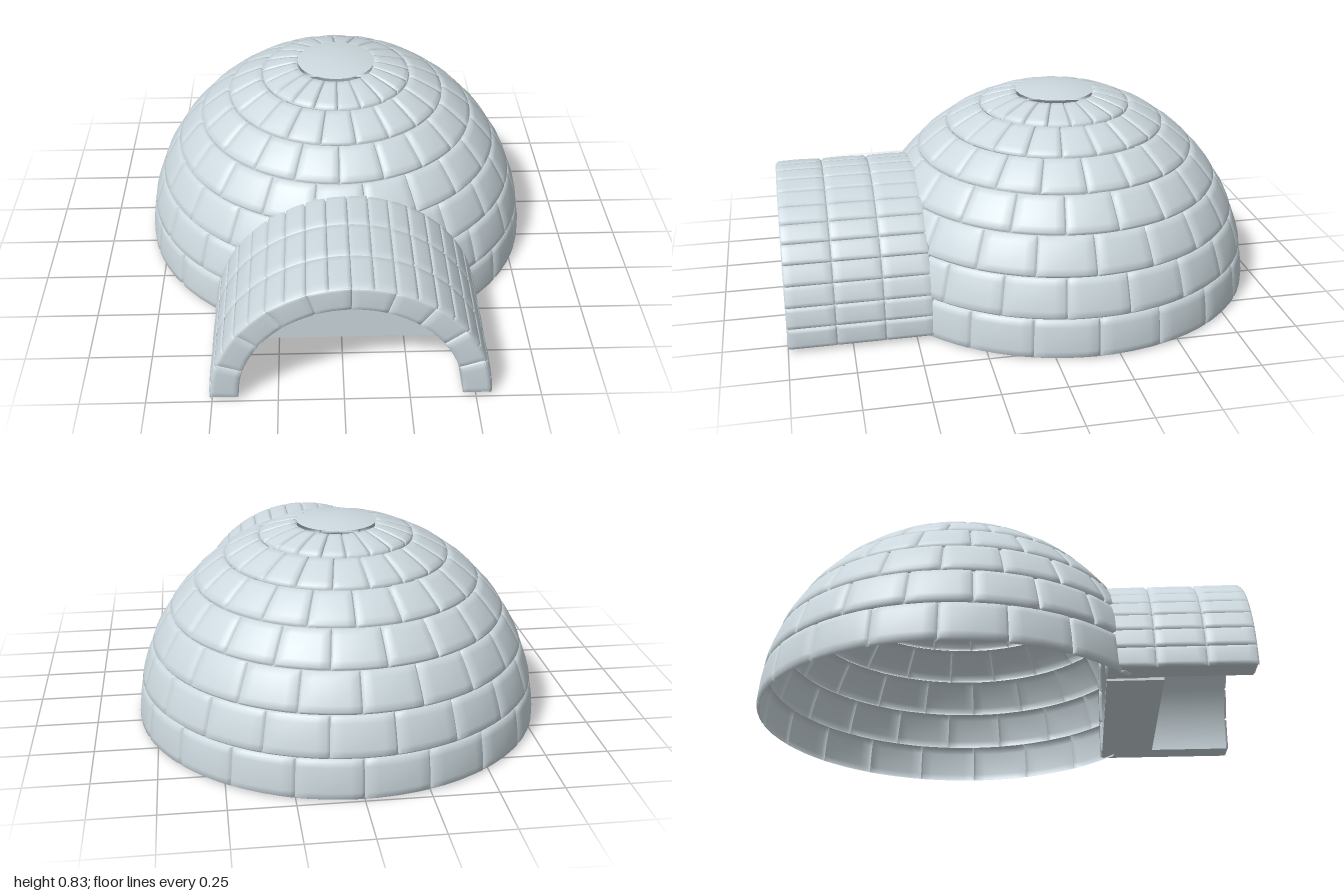
import * as THREE from 'three';
import { mergeGeometries } from 'three/addons/utils/BufferGeometryUtils.js';

const R = 0.83, DOME_Z = -0.17;            // dome radius and centre
const TX = 0.025, TY = 0.012;              // tunnel axis
const R_OUT = 0.537, R_IN = 0.425;         // tunnel radii
const Z_BACK = 0.43, Z_FRONT = 1;
const STEPS = [0, 0.05, 0.2, 0.5, 0.8, 0.95, 1];

// A cushion-shaped block face: point(u, v, dip) gives a position, dip is 1 on the rim.
function blockFace(point, keep = () => true) {
  const n = STEPS.length, pos = [], index = [];
  for (const v of STEPS) for (const u of STEPS) {
    const edge = Math.min(u, 1 - u, v, 1 - v);
    const dip = edge === 0 ? 1 : edge < 0.1 ? 0.22 : edge < 0.3 ? 0.1 : 0;
    pos.push(...point(u, v, dip));
  }
  const at = (k) => [pos[3 * k], pos[3 * k + 1], pos[3 * k + 2]];
  for (let j = 0; j < n - 1; j++) for (let i = 0; i < n - 1; i++) {
    const a = j * n + i, b = a + 1, c = b + n, d = a + n;
    if ([a, b, c, d].some((k) => keep(at(k)))) index.push(a, b, c, a, c, d);
  }
  if (!index.length) return null;
  const g = new THREE.BufferGeometry();
  g.setAttribute('position', new THREE.Float32BufferAttribute(pos, 3));
  g.setIndex(index);
  g.computeVertexNormals();
  return g;
}

export function createModel() {
  const model = new THREE.Group();
  const snow = new THREE.MeshStandardMaterial({ color: 0xccd8de, side: THREE.DoubleSide });
  snow.name = 'snow';

  const add = (name, geometry) => {
    const m = new THREE.Mesh(geometry, snow);
    m.name = name;
    model.add(m);
    return m;
  };

  // Dome: seven staggered rows of blocks, open at the doorway
  const ROWS = 8, PER_ROW = 20, rowStep = Math.PI / 2 / ROWS, colStep = Math.PI * 2 / PER_ROW;
  const outsideDoor = ([x, y, z]) => z < 0 || Math.hypot(x - TX, y - TY) > 0.5;
  for (let r = 0; r < ROWS - 1; r++) {
    const blocks = [];
    for (let c = 0; c < PER_ROW; c++) {
      const g = blockFace((u, v, dip) => {
        const phi = (c + u + (r % 2) * 0.5) * colStep, lat = (r + v) * rowStep;
        const rad = R - 0.016 * dip - 0.004 * v;
        const x = rad * Math.cos(lat) * Math.sin(phi);
        const y = rad * Math.sin(lat);
        const z = DOME_Z + rad * Math.cos(lat) * Math.cos(phi);
        return [x, y, z];
      }, outsideDoor);
      if (!g) continue;
      // tidy the doorway edge so that it stays within the tunnel wall
      const p = g.attributes.position;
      for (let i = 0; i < p.count; i++) {
        const dx = p.getX(i) - TX, dy = p.getY(i) - TY, d = Math.hypot(dx, dy);
        if (p.getZ(i) > 0 && d < 0.47 && d > 0.2) {
          p.setXY(i, TX + dx * 0.47 / d, Math.max(0, TY + dy * 0.47 / d));
        }
      }
      blocks.push(g);
    }
    add('domeRow' + (r + 1), mergeGeometries(blocks));
  }

  // Round block closing the top
  add('domeCap', new THREE.SphereGeometry(R, 40, 5, 0, Math.PI * 2, 0, rowStep))
    .position.z = DOME_Z;

  // Point on the tunnel for an angle running from the right foot over the top
  const arch = (a, rad, z) => [TX - rad * Math.cos(a), TY + rad * Math.sin(a), z];

  // Tunnel: three rings of narrow outer blocks
  const RINGS = 3, SLATS = 20, depth = (Z_FRONT - Z_BACK) / RINGS;
  for (let k = 0; k < RINGS; k++) {
    const blocks = [];
    for (let s = 0; s < SLATS; s++) {
      blocks.push(blockFace((u, v, dip) => arch(
        (s + u) / SLATS * Math.PI, R_OUT - 0.012 * dip, Z_FRONT - (k + v) * depth)));
    }
    add('tunnelRing' + (k + 1), mergeGeometries(blocks));
  }

  // Wedge blocks around the entrance, and the matching inner end
  const WEDGES = 10;
  for (const [name, z, dir] of [['entranceArch', Z_FRONT, 1], ['innerArch', Z_BACK, -1]]) {
    const blocks = [];
    for (let s = 0; s < WEDGES; s++) {
      blocks.push(blockFace((u, v, dip) => arch(
        (s + (dir > 0 ? u : 1 - u)) / WEDGES * Math.PI,
        R_IN + (R_OUT - 0.012 - R_IN) * v + 0.012 * (1 - dip) * v,
        z - dir * 0.012 * dip)));
    }
    add(name, mergeGeometries(blocks));
  }

  // Smooth tunnel lining
  const lining = new THREE.CylinderGeometry(R_IN, R_IN, Z_FRONT - Z_BACK - 0.024, 40, 1, true,
    Math.PI / 2, Math.PI);
  lining.rotateX(Math.PI / 2);
  lining.translate(TX, TY, (Z_FRONT + Z_BACK) / 2);
  add('tunnelLining', lining);

  // Undersides of the two tunnel walls
  for (const side of [-1, 1]) {
    const foot = new THREE.PlaneGeometry(R_OUT - R_IN - 0.012, Z_FRONT - Z_BACK - 0.02);
    foot.rotateX(Math.PI / 2);
    foot.translate(TX + side * (R_OUT + R_IN - 0.012) / 2, TY, (Z_FRONT + Z_BACK) / 2);
    add(side < 0 ? 'rightWallFoot' : 'leftWallFoot', foot);
  }

  // Panel closing the passage, with a threshold behind it
  const panel = add('passagePanel', new THREE.CircleGeometry(R_IN + 0.005, 40, 0, Math.PI));
  panel.position.set(TX, 0.005, 0.655);
  const sill = add('threshold', new THREE.BoxGeometry(R_IN * 2, 0.009, 0.22));
  sill.position.set(TX, 0.0045, 0.545);

  return model;
}
